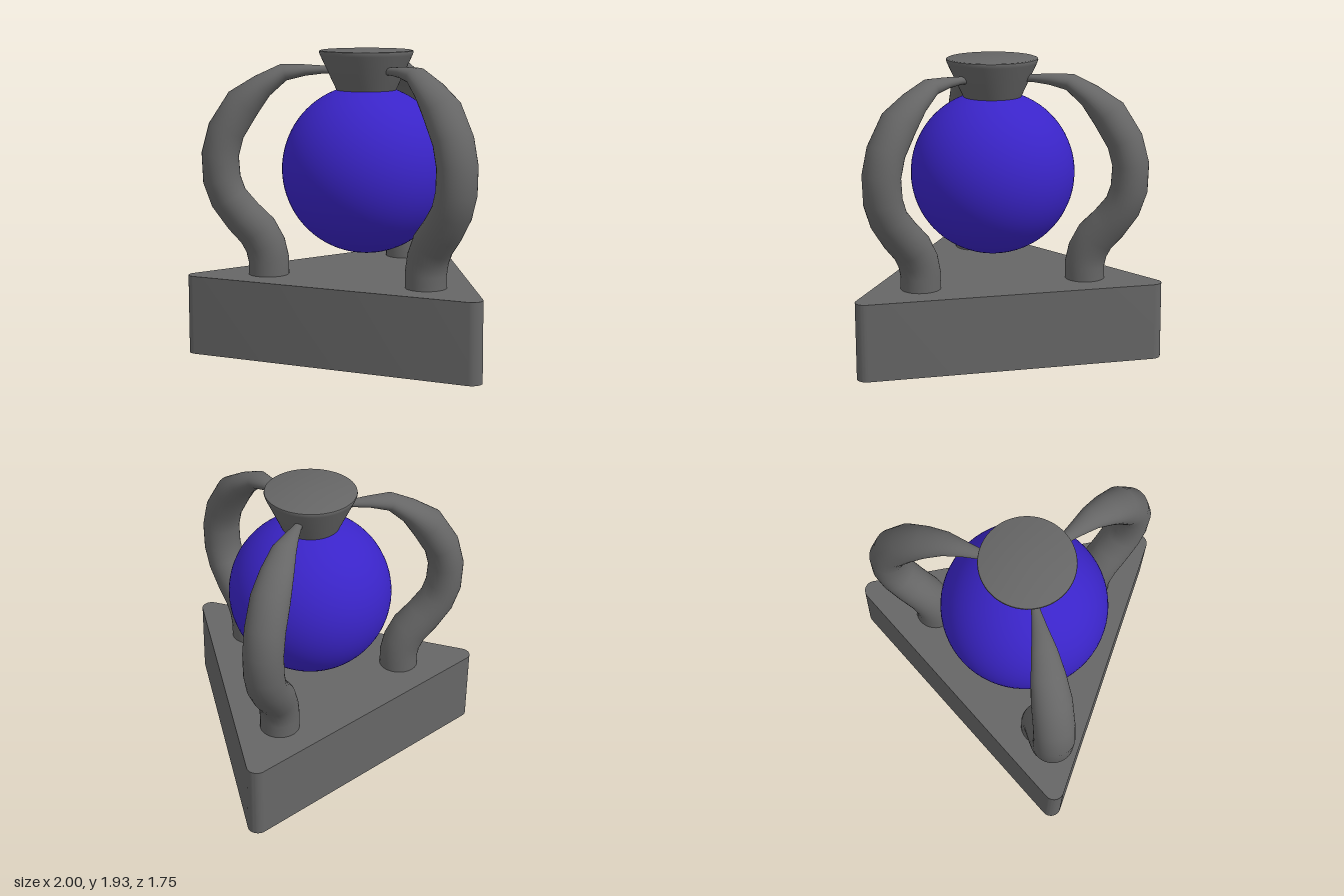
import * as THREE from 'three';
import { toCreasedNormals } from 'three/addons/utils/BufferGeometryUtils.js';

const AXIS_Z = 0.27; // the vertical axis of the threefold symmetry
const stone = new THREE.MeshStandardMaterial({ color: 0x666666 });
const blue = new THREE.MeshStandardMaterial({ color: 0x3a24c8 });

function part(name, geometry, material, y = 0) {
  const mesh = new THREE.Mesh(geometry, material);
  mesh.name = name;
  mesh.position.y = y;
  return mesh;
}

// Triangular slab with rounded corners, one corner pointing to the back
function baseGeometry() {
  const reach = 1.077, radius = 0.067;
  const shape = new THREE.Shape();
  for (let i = 0; i < 3; i++) {
    const a = Math.PI / 2 + (i * Math.PI * 2) / 3;
    shape.absarc(reach * Math.cos(a), reach * Math.sin(a), radius, a - Math.PI / 3, a + Math.PI / 3);
  }
  shape.closePath();
  const geo = new THREE.ExtrudeGeometry(shape, { depth: 0.505, bevelEnabled: false, curveSegments: 10 });
  geo.rotateX(-Math.PI / 2);
  return toCreasedNormals(geo, 0.6);
}

// Arm stations: distance from axis, height, half width sideways, half thickness
const ARM = [
  [0.63, 0.48, 0.13, 0.13],
  [0.63, 0.6, 0.13, 0.13],
  [0.65, 0.69, 0.13, 0.13],
  [0.7, 0.785, 0.13, 0.13],
  [0.79, 0.88, 0.13, 0.125],
  [0.88, 1.0, 0.13, 0.12],
  [0.922, 1.12, 0.13, 0.12],
  [0.93, 1.28, 0.13, 0.118],
  [0.89, 1.43, 0.13, 0.118],
  [0.783, 1.6, 0.127, 0.115],
  [0.66, 1.71, 0.108, 0.078],
  [0.525, 1.795, 0.08, 0.055],
  [0.39, 1.808, 0.05, 0.036],
  [0.28, 1.81, 0.03, 0.026],
  [0.23, 1.808, 0.025, 0.025],
  [0.215, 1.808, 0.001, 0.001],
];

// Loft elliptical rings along the stations, in the plane x = 0
function armGeometry(sides = 32) {
  const pos = [], index = [];
  const pts = ARM.map(([z, y]) => new THREE.Vector3(0, y, z));
  ARM.forEach(([, , wide, thick], i) => {
    const p = pts[i];
    const step = (a, b) => pts[b].clone().sub(pts[a]).normalize();
    const t = new THREE.Vector3();
    if (i > 0) t.add(step(i - 1, i));
    if (i < pts.length - 1) t.add(step(i, i + 1));
    t.normalize();
    for (let j = 0; j < sides; j++) {
      const a = (j / sides) * Math.PI * 2;
      const n = thick * Math.sin(a);
      pos.push(wide * Math.cos(a), p.y + t.z * n, p.z - t.y * n);
      if (i < pts.length - 1) {
        const k = (j + 1) % sides;
        const r0 = i * sides, r1 = r0 + sides;
        index.push(r0 + j, r0 + k, r1 + j, r0 + k, r1 + k, r1 + j);
      }
    }
  });
  const geo = new THREE.BufferGeometry();
  geo.setAttribute('position', new THREE.Float32BufferAttribute(pos, 3));
  geo.setIndex(index);
  geo.computeVertexNormals();
  return geo;
}

// Solid flared cup with a slightly softened rim
function cupGeometry() {
  const profile = [[0, 1.68], [0.19, 1.68], [0.293, 1.9], [0.3, 1.92], [0.298, 1.928], [0.288, 1.932], [0, 1.932]];
  const geo = new THREE.LatheGeometry(profile.map(([x, y]) => new THREE.Vector2(x, y)), 64);
  return toCreasedNormals(geo, 0.7);
}

export function createModel() {
  const model = new THREE.Group();
  model.name = 'orbStand';
  const body = new THREE.Group();
  body.name = 'stand';
  body.position.z = AXIS_Z;
  model.add(body);

  body.add(part('base', baseGeometry(), stone));
  body.add(part('orb', new THREE.SphereGeometry(0.54, 64, 40), blue, 1.175));
  body.add(part('cup', cupGeometry(), stone));

  const arm = armGeometry();
  for (const [name, angle] of [['leftArm', Math.PI / 3], ['rightArm', -Math.PI / 3], ['backArm', Math.PI]]) {
    const mesh = part(name, arm, stone);
    mesh.rotation.y = angle;
    body.add(mesh);
  }
  return model;
}
